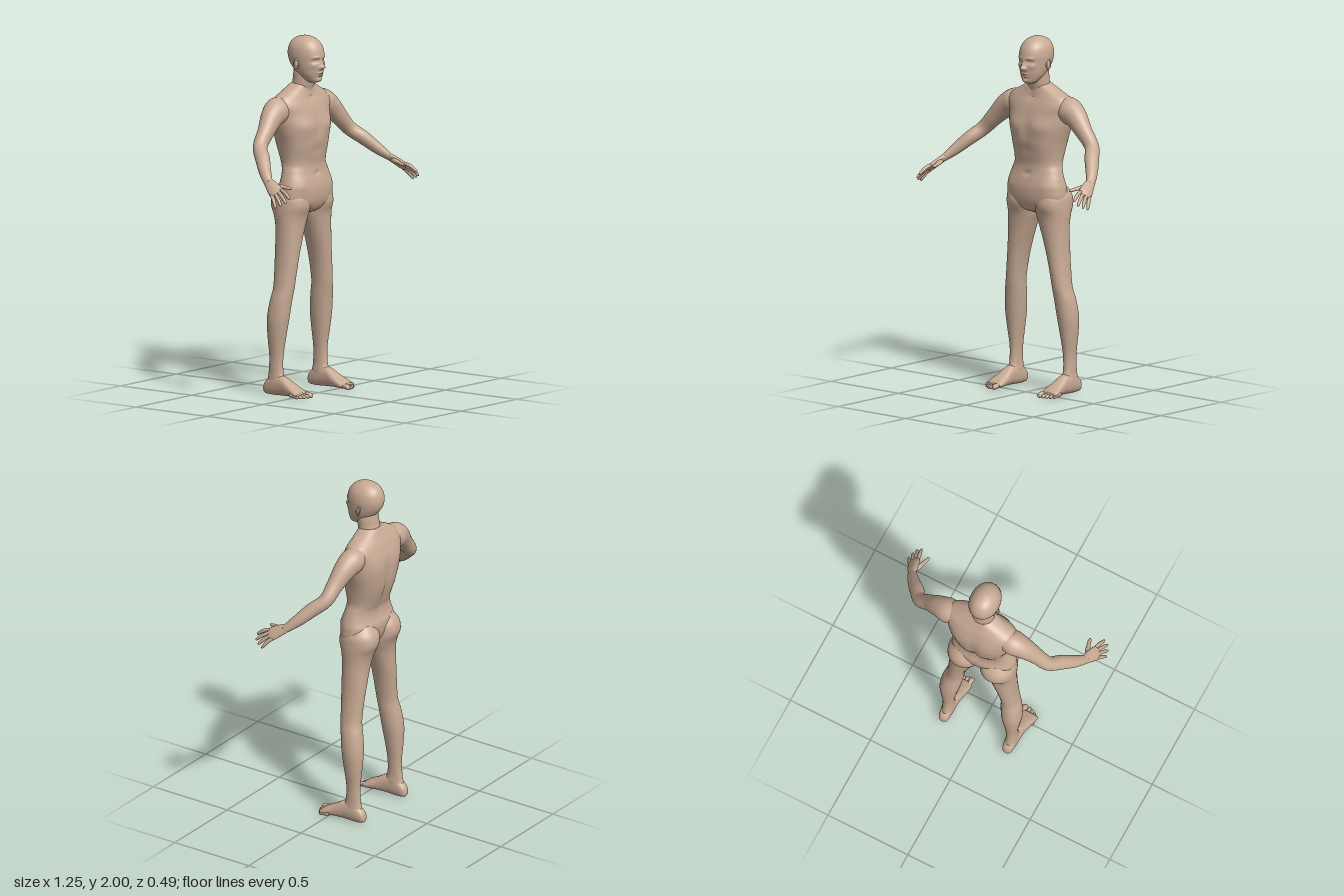
import * as THREE from 'three';

const skin = new THREE.MeshStandardMaterial({ color: 0xc8aa94 });
const V = (x, y, z) => new THREE.Vector3(x, y, z);

// Smoothly adds `steps` rows between each pair of control rows
function refine(rows, steps) {
  const out = [];
  for (let i = 0; i < rows.length - 1; i++) {
    const a = rows[Math.max(i - 1, 0)], b = rows[i], c = rows[i + 1], d = rows[Math.min(i + 2, rows.length - 1)];
    for (let s = 0; s < steps; s++) {
      const t = s / steps;
      out.push(b.map((v, k) => v + 0.5 * t * (c[k] - a[k] + t * (2 * a[k] - 5 * v + 4 * c[k] - d[k]
        + t * (3 * (v - c[k]) + d[k] - a[k])))));
    }
  }
  out.push(rows[rows.length - 1]);
  return out;
}

// Skins a list of rings, closes both ends, turns the faces outward
function skinRings(rings, mirror = 1) {
  const n = rings[0].length, pts = rings.flat(), idx = [];
  for (let i = 0; i < rings.length - 1; i++) {
    for (let j = 0; j < n; j++) {
      const a = i * n + j, b = i * n + (j + 1) % n;
      idx.push(a, b, a + n, b, b + n, a + n);
    }
  }
  const mid = r => r.reduce((s, p) => s.add(p), V(0, 0, 0)).divideScalar(n);
  const first = pts.length, last = first + 1, top = (rings.length - 1) * n;
  pts.push(mid(rings[0]), mid(rings[rings.length - 1]));
  for (let j = 0; j < n; j++) {
    const k = (j + 1) % n;
    idx.push(first, k, j, last, top + j, top + k);
  }
  const p = pts.map(q => V(q.x * mirror, q.y, q.z));
  let volume = 0;
  for (let i = 0; i < idx.length; i += 3) {
    volume += p[idx[i]].dot(V(0, 0, 0).crossVectors(p[idx[i + 1]], p[idx[i + 2]]));
  }
  if (volume < 0) idx.reverse();
  const g = new THREE.BufferGeometry().setFromPoints(p);
  g.setIndex(idx);
  g.computeVertexNormals();
  return g;
}

// Rounded section between (u0,v0) and (u1,v1); e < 1 makes it squarer
function section(n, u0, u1, v0, v1, e, place) {
  return Array.from({ length: n }, (_, j) => {
    const a = j / n * Math.PI * 2, c = Math.cos(a), s = Math.sin(a);
    return place((u0 + u1) / 2 + (u1 - u0) / 2 * Math.sign(c) * Math.abs(c) ** e,
      (v0 + v1) / 2 + (v1 - v0) / 2 * Math.sign(s) * Math.abs(s) ** e);
  });
}

// Upright form; rows are [y, x0, x1, zBack, zFront]
const upright = (rows, n, steps, e = 1, m = 1) => skinRings(refine(rows, steps)
  .map(([y, a, b, c, d]) => section(n, a, b, c, d, e, (x, z) => V(x, y, z))), m);
// Form lying along z; rows are [z, x0, x1, yLow, yHigh]
const lengthwise = (rows, n, steps, e = 1, m = 1) => skinRings(refine(rows, steps)
  .map(([z, a, b, c, d]) => section(n, a, b, c, d, e, (x, y) => V(x, y, z))), m);
// Symmetric upright rows given as [y, halfWidth, zBack, zFront]
const symmetric = rows => rows.map(([y, w, b, f]) => [y, -w, w, b, f]);

// Limb along a path; rows are [x, y, z, halfWidth, halfThickness], width lies towards `ref`
function limb(rows, n, steps, ref, m) {
  const r = refine(rows, steps), c = r.map(q => V(q[0], q[1], q[2]));
  return skinRings(r.map((q, i) => {
    const t = c[Math.min(i + 1, c.length - 1)].clone().sub(c[Math.max(i - 1, 0)]).normalize();
    const side = ref.clone().addScaledVector(t, -ref.dot(t)).normalize();
    const up = V(0, 0, 0).crossVectors(t, side);
    return section(n, -q[3], q[3], -q[4], q[4], 1,
      (u, v) => c[i].clone().addScaledVector(side, u).addScaledVector(up, v));
  }), m);
}

// Soft bumps and hollows: [x, y, facing, spreadX, spreadY, amount], on both sides
function sculpt(g, bumps, zMid) {
  const p = g.attributes.position;
  for (let i = 0; i < p.count; i++) {
    const x = Math.abs(p.getX(i)), y = p.getY(i), z = p.getZ(i);
    let dz = 0;
    for (const [bx, by, f, sx, sy, amt] of bumps) {
      const fade = Math.min(Math.max((z - zMid) * f / 0.05, 0), 1);
      dz += f * fade * amt * Math.exp(-(((x - bx) / sx) ** 2) - ((y - by) / sy) ** 2);
    }
    p.setZ(i, z + dz);
  }
  g.computeVertexNormals();
  return g;
}

export function createModel() {
  const model = new THREE.Group();
  const add = (name, g) => {
    const mesh = new THREE.Mesh(g, skin);
    mesh.name = name;
    model.add(mesh);
    return mesh;
  };

  // Torso with chest, belly, shoulder blades and spine
  add('torso', sculpt(upright(symmetric([
    [1.01, 0.02, -0.13, -0.06], [1.03, 0.09, -0.16, -0.02], [1.08, 0.183, -0.19, 0.005],
    [1.15, 0.192, -0.2, 0.01], [1.2, 0.18, -0.187, 0.002], [1.25, 0.163, -0.185, -0.01],
    [1.3, 0.15, -0.203, -0.012], [1.4, 0.165, -0.236, 0.006], [1.5, 0.193, -0.246, 0.002],
    [1.57, 0.205, -0.242, -0.012], [1.62, 0.22, -0.228, -0.028], [1.66, 0.2, -0.212, -0.045],
    [1.69, 0.15, -0.195, -0.055], [1.715, 0.1, -0.182, -0.06], [1.735, 0.06, -0.17, -0.065]]), 56, 6, 0.88), [
    [0.09, 1.5, 1, 0.06, 0.045, 0.012], [0, 1.5, 1, 0.018, 0.08, -0.006], [0, 1.37, 1, 0.06, 0.03, -0.006],
    [0, 1.235, 1, 0.014, 0.014, -0.012], [0.13, 1.17, 1, 0.03, 0.04, 0.006], [0, 1.66, 1, 0.02, 0.02, -0.01],
    [0, 1.4, -1, 0.022, 0.2, -0.014], [0.1, 1.53, -1, 0.05, 0.07, 0.006]], -0.1));

  // Neck
  add('neck', upright(symmetric([[1.66, 0.075, -0.19, -0.055], [1.7, 0.068, -0.182, -0.055],
    [1.74, 0.063, -0.167, -0.045], [1.79, 0.062, -0.16, -0.04], [1.84, 0.055, -0.155, -0.04]]), 32, 5));

  // Head with the face modelled in
  add('head', sculpt(upright(symmetric([
    [1.742, 0.022, -0.06, -0.012], [1.752, 0.04, -0.08, 0.006], [1.785, 0.062, -0.125, 0.014],
    [1.82, 0.074, -0.162, 0.019], [1.86, 0.081, -0.188, 0.021], [1.9, 0.084, -0.197, 0.021],
    [1.94, 0.078, -0.19, 0.01], [1.97, 0.061, -0.172, -0.012], [1.988, 0.04, -0.145, -0.04],
    [1.997, 0.02, -0.115, -0.068], [2.0, 0.002, -0.095, -0.09]]), 72, 8, 0.95), [
    [0, 1.832, 1, 0.013, 0.013, 0.026], [0.015, 1.828, 1, 0.007, 0.008, 0.008], [0, 1.857, 1, 0.01, 0.02, 0.014],
    [0.033, 1.868, 1, 0.017, 0.011, -0.014], [0.033, 1.868, 1, 0.009, 0.005, 0.007],
    [0.033, 1.887, 1, 0.022, 0.007, 0.006], [0.05, 1.842, 1, 0.015, 0.014, 0.006],
    [0, 1.798, 1, 0.022, 0.005, 0.009], [0, 1.785, 1, 0.018, 0.005, 0.009], [0, 1.7915, 1, 0.025, 0.003, -0.005],
    [0, 1.774, 1, 0.022, 0.006, -0.005], [0, 1.757, 1, 0.02, 0.011, 0.006]], -0.06));

  const handWidth = V(0.52, -0.52, -0.68).normalize();
  for (const [side, m] of [['left', 1], ['right', -1]]) {
    // Ear: rim and inner shell
    const ear = new THREE.Group();
    ear.name = side + 'Ear';
    const rim = new THREE.Mesh(new THREE.TorusGeometry(0.018, 0.005, 8, 20), skin);
    const shell = new THREE.Mesh(new THREE.SphereGeometry(0.017, 14, 10).scale(1, 1, 0.35), skin);
    rim.name = 'earRim';
    shell.name = 'earShell';
    ear.add(rim, shell);
    ear.scale.set(0.75, 1.35, 1);
    ear.position.set(m * 0.083, 1.85, -0.092);
    ear.rotation.set(-0.15, m * (Math.PI / 2 - 0.35), 0, 'YXZ');
    model.add(ear);

    // Arm from shoulder to wrist
    add(side + 'Arm', limb([[0.11, 1.62, -0.135, 0.04, 0.05], [0.19, 1.6, -0.135, 0.07, 0.074],
      [0.255, 1.568, -0.127, 0.062, 0.066], [0.33, 1.497, -0.112, 0.046, 0.05], [0.4, 1.425, -0.098, 0.04, 0.041],
      [0.452, 1.37, -0.04, 0.041, 0.038], [0.505, 1.308, 0.02, 0.034, 0.031],
      [0.54, 1.265, 0.068, 0.026, 0.02], [0.545, 1.258, 0.08, 0.024, 0.018]], 28, 6, handWidth, m));

    // Palm
    add(side + 'Hand', limb([[0.538, 1.268, 0.062, 0.024, 0.018], [0.552, 1.247, 0.1, 0.034, 0.017],
      [0.568, 1.221, 0.142, 0.041, 0.015], [0.577, 1.209, 0.163, 0.036, 0.009]], 20, 5, handWidth, m));

    // Four fingers, index to little
    [[0.573, 1.188, 0.245], [0.597, 1.165, 0.238], [0.611, 1.15, 0.213], [0.619, 1.138, 0.182]].forEach((tip, i) => {
      const k = V(0.572, 1.216, 0.15).addScaledVector(handWidth, (i - 1.5) * 0.02), t = V(...tip);
      const row = (f, r) => {
        const p = k.clone().lerp(t, f);
        return [p.x, p.y + 0.008 * Math.sin(f * Math.PI), p.z, r, r];
      };
      add(side + 'Finger' + (i + 1), limb([row(0, 0.01), row(0.35, 0.0105), row(0.7, 0.0095),
        row(0.93, 0.007), row(1, 0.002)], 12, 4, handWidth, m));
    });
    add(side + 'Thumb', limb([[0.548, 1.25, 0.085, 0.014, 0.014], [0.53, 1.245, 0.125, 0.015, 0.014],
      [0.515, 1.24, 0.165, 0.011, 0.01], [0.507, 1.235, 0.195, 0.009, 0.008], [0.505, 1.233, 0.206, 0.002, 0.002]],
    12, 4, V(1, 0, 0), m));

    // Leg from buttock to ankle
    add(side + 'Leg', upright([[1.175, 0.04, 0.15, -0.18, -0.05], [1.12, 0.004, 0.193, -0.222, -0.012],
      [1.06, 0.001, 0.202, -0.228, -0.002], [1, 0.008, 0.202, -0.202, -0.02], [0.93, 0.035, 0.2, -0.186, -0.028],
      [0.8, 0.08, 0.203, -0.18, -0.035], [0.7, 0.105, 0.21, -0.175, -0.04], [0.6, 0.12, 0.223, -0.172, -0.048],
      [0.53, 0.125, 0.24, -0.184, -0.058], [0.43, 0.135, 0.25, -0.197, -0.07], [0.33, 0.15, 0.243, -0.193, -0.085],
      [0.22, 0.165, 0.23, -0.184, -0.1], [0.13, 0.169, 0.229, -0.188, -0.097], [0.08, 0.165, 0.232, -0.198, -0.08],
      [0.04, 0.17, 0.228, -0.2, -0.09]], 36, 5, 0.95, m));

    // Foot
    add(side + 'Foot', lengthwise([[-0.222, 0.188, 0.212, 0.02, 0.045], [-0.208, 0.172, 0.226, 0.006, 0.075],
      [-0.16, 0.165, 0.234, 0.002, 0.11], [-0.09, 0.163, 0.238, 0.004, 0.112], [-0.03, 0.154, 0.248, 0.005, 0.078],
      [0.02, 0.148, 0.258, 0.004, 0.05], [0.048, 0.152, 0.258, 0.006, 0.034]], 28, 5, 0.85, m));

    // Toes, big to little
    [[0.168, 0.086, 0.016], [0.194, 0.084, 0.011], [0.214, 0.076, 0.0105], [0.233, 0.066, 0.01], [0.25, 0.053, 0.0095]]
      .forEach(([x, z, r], i) => add(side + 'Toe' + (i + 1), lengthwise([
        [z - 0.06, x - r * 0.8, x + r * 0.8, 0.008, 0.034], [z - 0.03, x - r * 0.85, x + r * 0.85, 0.006, 0.008 + r * 1.7],
        [z - 0.012, x - r, x + r, 0.003, 0.005 + r * 1.7], [z - 0.003, x - r * 0.7, x + r * 0.7, 0.004, 0.004 + r * 1.3],
        [z, x - r * 0.2, x + r * 0.2, 0.009, 0.012]], 14, 4, 1, m)));
  }
  return model;
}
